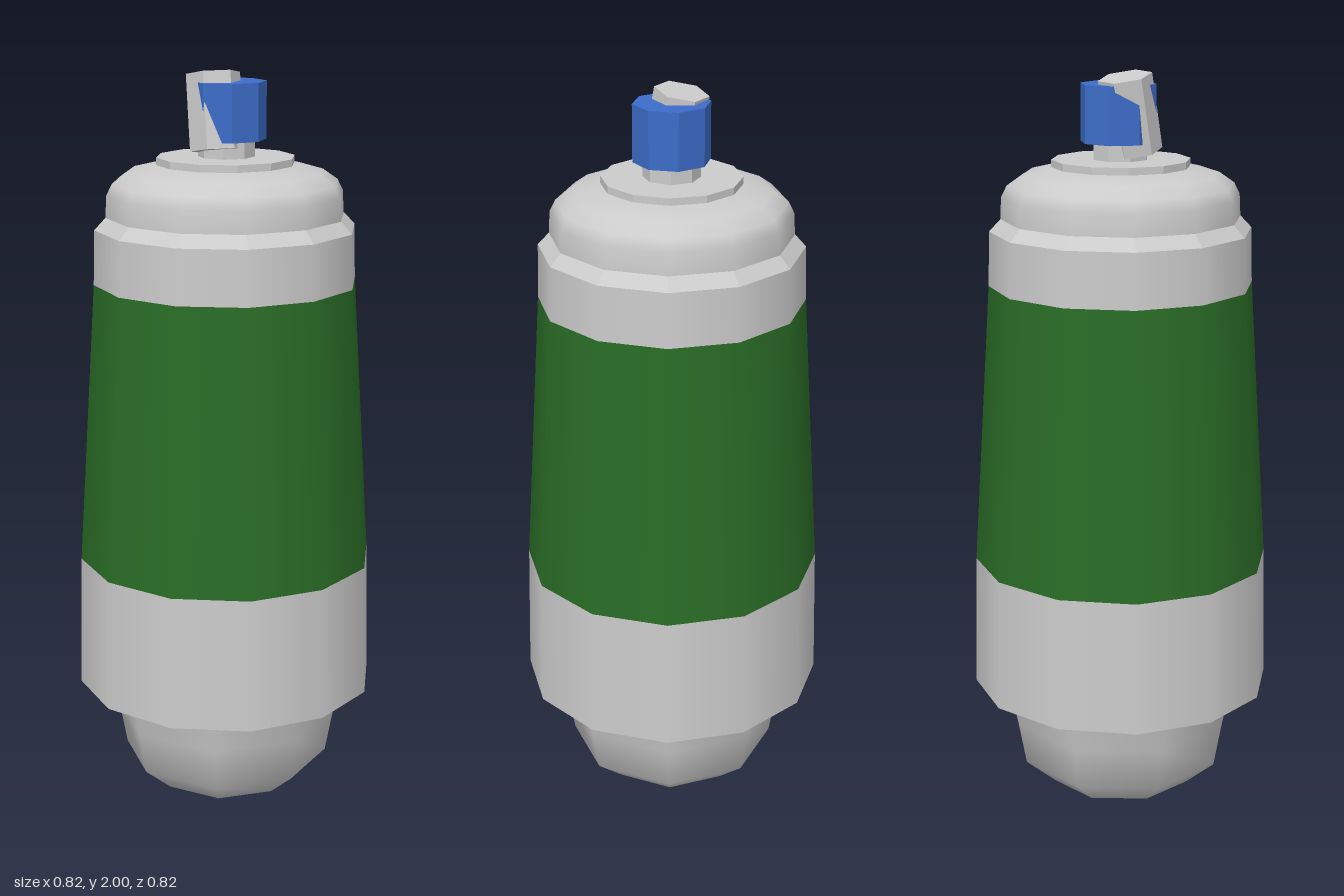
import * as THREE from 'three';

const grey = new THREE.MeshStandardMaterial({ color: 0xcccccc });
const greyFlat = new THREE.MeshStandardMaterial({ color: 0xcccccc, flatShading: true });
const green = new THREE.MeshStandardMaterial({ color: 0x2a6c26 });
const blue = new THREE.MeshStandardMaterial({ color: 0x3c6cc8, flatShading: true });

export function createModel() {
  const model = new THREE.Group();

  const add = (name, geometry, material) => {
    const mesh = new THREE.Mesh(geometry, material);
    mesh.name = name;
    model.add(mesh);
    return mesh;
  };
  // Profile of [radius, y] pairs, bottom to top, turned about the y axis
  const turn = (name, profile, material, sides = 12) =>
    add(name, new THREE.LatheGeometry(profile.map(([r, y]) => new THREE.Vector2(r, y)), sides), material);

  // Rounded bottom, eight-sided and smooth
  turn('bottomDome', [[0, 0.005], [0.2, 0.03], [0.283, 0.1], [0.305, 0.22], [0.328, 0.33]], grey, 8);

  // Tapered sleeve with a coloured band; each section keeps a sharp rim
  turn('sleeveUnderside', [[0.25, 0.325], [0.408, 0.325]], greyFlat);
  turn('lowerSleeve', [[0.408, 0.325], [0.4, 0.685]], grey);
  turn('colourBand', [[0.4, 0.685], [0.352, 1.445]], green);
  turn('upperSleeve', [[0.352, 1.445], [0.348, 1.59]], grey);
  turn('sleeveBevel', [[0.348, 1.59], [0.318, 1.622]], greyFlat);

  // Rounded shoulder and the flat disc on it
  turn('shoulder', [[0.318, 1.622], [0.315, 1.68], [0.3, 1.71], [0.26, 1.738], [0.17, 1.76], [0, 1.762]], grey);
  add('valveDisc', new THREE.CylinderGeometry(0.183, 0.183, 0.02, 12), greyFlat).position.y = 1.766;

  // Valve stem and coloured collar
  add('valveStem', new THREE.CylinderGeometry(0.075, 0.075, 0.08, 8), greyFlat).position.set(0.002, 1.795, 0);
  const collar = add('collar', new THREE.CylinderGeometry(0.101, 0.101, 0.15, 8), blue);
  collar.position.set(0.008, 1.895, 0);
  collar.rotation.y = THREE.MathUtils.degToRad(11.5);

  // Leaning hexagonal post through the collar
  const foot = new THREE.Vector3(-0.037, 1.795, 0.01);
  const head = new THREE.Vector3(-0.022, 1.99, -0.025);
  const axis = head.clone().sub(foot);
  const post = add('leaningPost', new THREE.CylinderGeometry(0.071, 0.071, axis.length(), 6), greyFlat);
  post.position.copy(foot).add(head).multiplyScalar(0.5);
  post.quaternion.setFromUnitVectors(new THREE.Vector3(0, 1, 0), axis.normalize());

  return model;
}
